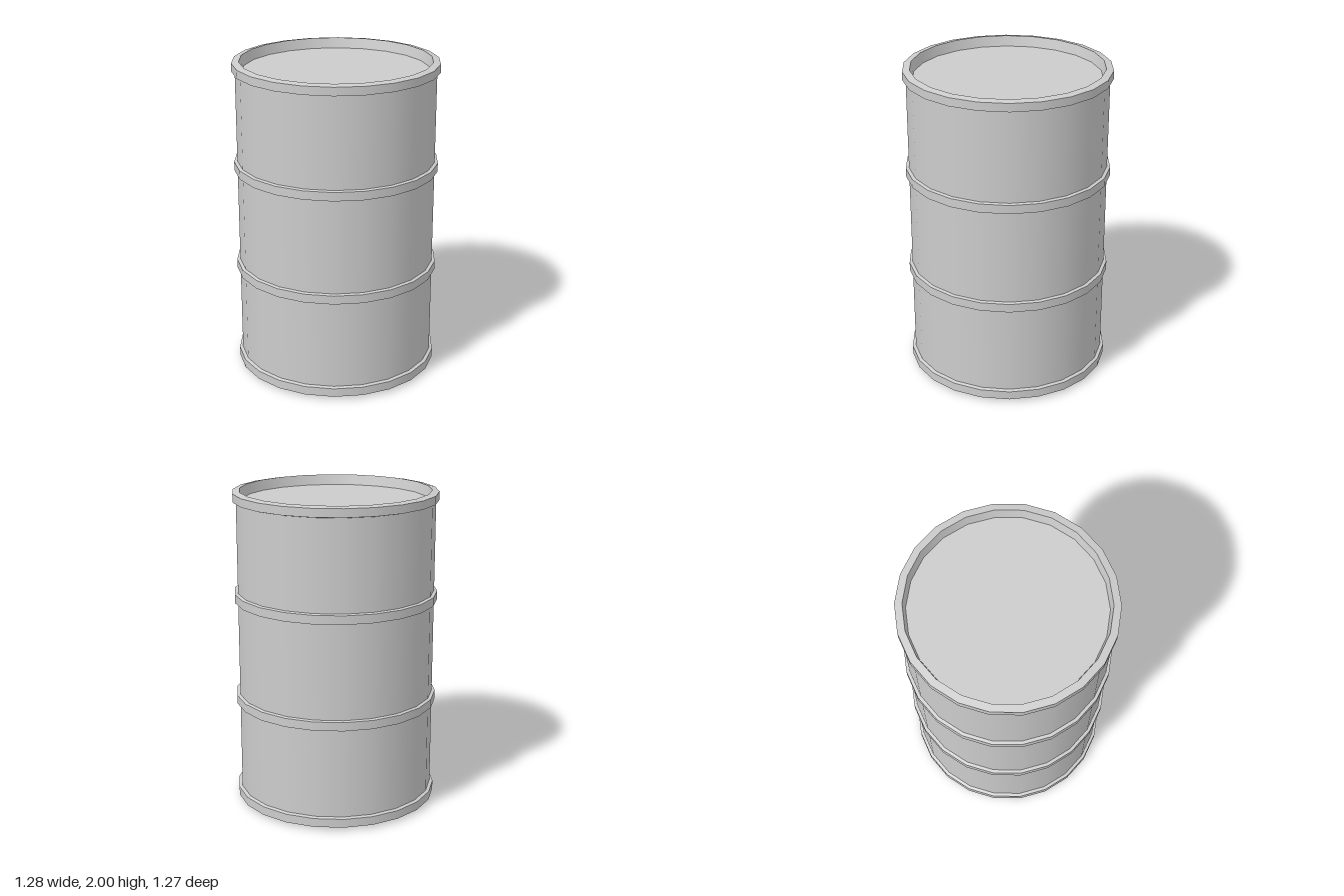
import * as THREE from 'three';
import { mergeGeometries } from 'three/addons/utils/BufferGeometryUtils.js';

const SIDES = 22;
const BODY_R = 0.62, BAND_R = 0.64, LIP_R = 0.595, LID_R = 0.58;

// Revolve a profile: smooth around the axis, sharp at each profile corner
function revolve(profile) {
  const runs = [];
  for (let i = 0; i < profile.length - 1; i++) {
    const pair = [profile[i], profile[i + 1]].map(([r, y]) => new THREE.Vector2(r, y));
    runs.push(new THREE.LatheGeometry(pair, SIDES, Math.PI / 2));
  }
  return mergeGeometries(runs);
}

export function createModel() {
  const drum = new THREE.Group();
  drum.name = 'drum';
  const steel = new THREE.MeshStandardMaterial({ color: 0xcccccc });
  steel.name = 'grey steel';

  const add = (name, profile) => {
    const mesh = new THREE.Mesh(revolve(profile), steel);
    mesh.name = name;
    drum.add(mesh);
  };

  // Straight wall
  add('body', [[BODY_R, 0.08], [BODY_R, 1.94]]);

  // Two raised hoops around the wall
  for (const [name, y] of [['lowerHoop', 0.645], ['upperHoop', 1.305]]) {
    add(name, [[BODY_R, y], [BAND_R, y + 0.005], [BAND_R, y + 0.06], [BODY_R, y + 0.065]]);
  }

  // Bottom rim with a bevelled lip and a shallow recess
  add('bottomRim', [[LID_R, 0.03], [LIP_R, 0], [BAND_R, 0.02], [BAND_R, 0.075], [BODY_R, 0.082]]);
  add('bottomPlate', [[0, 0.03], [LID_R, 0.03]]);

  // Top rim and sunken lid
  add('topRim', [[BODY_R, 1.935], [BAND_R, 1.94], [BAND_R, 1.992], [LIP_R, 2], [LID_R, 1.935]]);
  add('lid', [[LID_R, 1.935], [0, 1.935]]);

  return drum;
}
